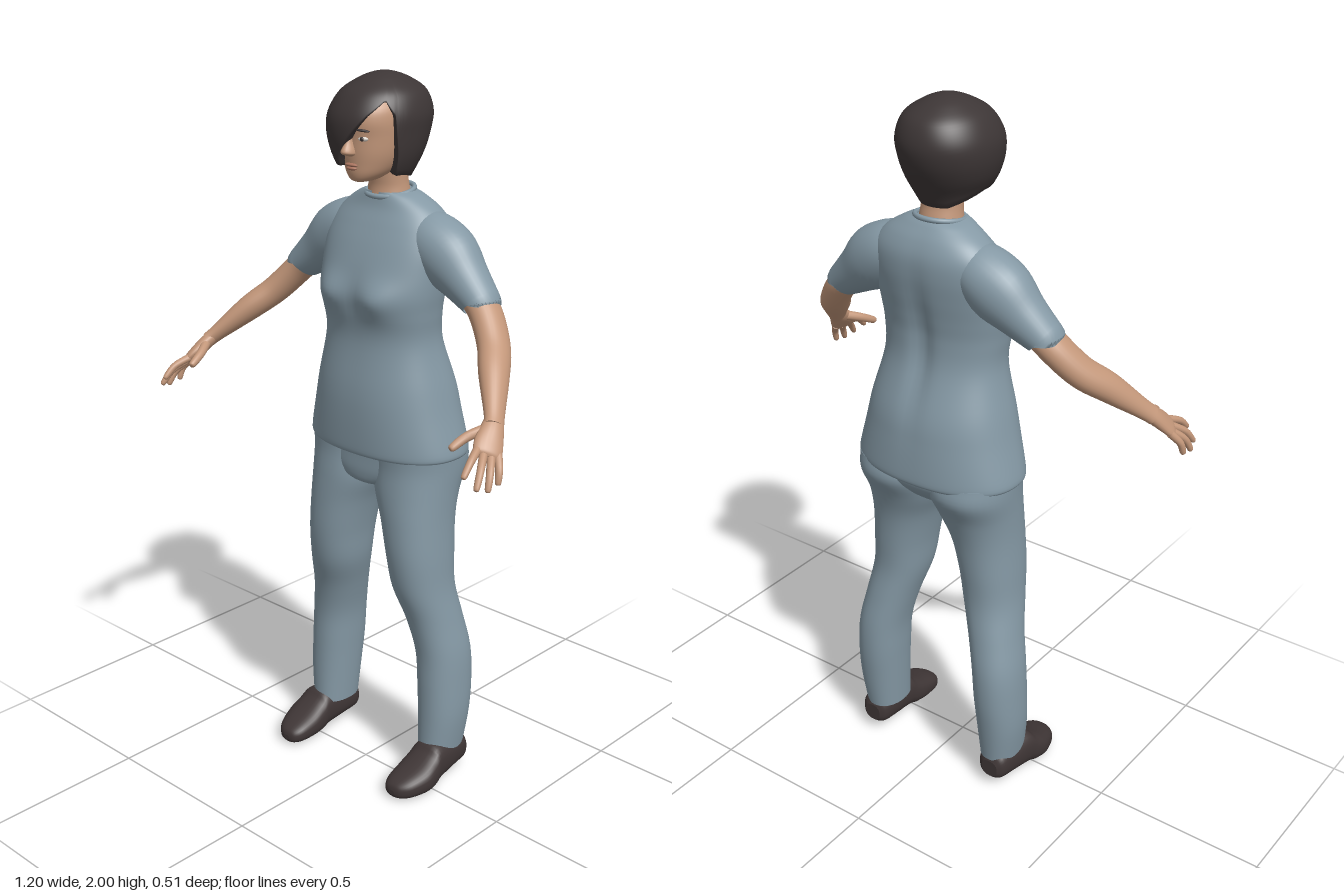
import * as THREE from 'three';

const V = (x, y, z) => new THREE.Vector3(x, y, z);
const material = (name, color) => Object.assign(new THREE.MeshStandardMaterial({ color }), { name });

// Smooth interpolation through rows of numbers
function spline(rows, steps) {
  const out = [], last = rows.length - 1;
  for (let i = 0; i <= steps; i++) {
    const t = (i / steps) * last, k = Math.min(Math.floor(t), last - 1), u = t - k;
    const [a, b, c, d] = [k - 1, k, k + 1, k + 2].map(j => rows[Math.max(0, Math.min(last, j))]);
    out.push(b.map((_, n) => b[n] + 0.5 * u * (c[n] - a[n] + u * (2 * a[n] - 5 * b[n] + 4 * c[n] - d[n]
      + u * (3 * (b[n] - c[n]) + d[n] - a[n])))));
  }
  return out;
}

// Superellipse point between two pairs of extents
function onHoop(x0, x1, front, back, angle, power) {
  const bend = v => Math.sign(v) * Math.abs(v) ** power;
  return [(x0 + x1) / 2 + (x1 - x0) / 2 * bend(Math.cos(angle)),
    (front + back) / 2 + (front - back) / 2 * bend(Math.sin(angle))];
}

// Closed skin over rings, with crisp end caps, always facing outwards
function solid(rings) {
  const n = rings[0].length, pts = rings.flat(), idx = [];
  for (let r = 0; r < rings.length - 1; r++) for (let i = 0; i < n; i++) {
    const a = r * n + i, b = r * n + (i + 1) % n;
    idx.push(a, b, a + n, b, b + n, a + n);
  }
  [rings[0], rings[rings.length - 1]].forEach((ring, end) => {
    const base = pts.length;
    pts.push(...ring, ring.reduce((s, p) => s.add(p), V(0, 0, 0)).divideScalar(n));
    for (let i = 0; i < n; i++) {
      const a = base + i, b = base + (i + 1) % n;
      idx.push(base + n, end ? a : b, end ? b : a);
    }
  });
  let volume = 0;
  for (let i = 0; i < idx.length; i += 3)
    volume += pts[idx[i]].dot(V(0, 0, 0).crossVectors(pts[idx[i + 1]], pts[idx[i + 2]]));
  if (volume < 0) idx.reverse();
  const geo = new THREE.BufferGeometry().setFromPoints(pts);
  geo.setIndex(idx);
  geo.computeVertexNormals();
  return geo;
}

// Horizontal sections: [y, x0, x1, front z, back z]
function stack(rows, steps, power = 0.88, n = 48) {
  return spline(rows, steps).map(([y, x0, x1, f, b]) => Array.from({ length: n }, (_, i) => {
    const [x, z] = onHoop(x0, x1, f, b, i / n * Math.PI * 2, power);
    return V(x, y, z);
  }));
}
const even = rows => rows.map(([y, h, f, b]) => [y, -h, h, f, b]);

// Tapered limb: rows of [x, y, z, radius along side, other radius]
function limb(rows, side, steps = 20, n = 20) {
  const path = spline(rows, steps);
  return path.map(([x, y, z, r1, r2], k) => {
    const p = path[Math.max(0, k - 1)], q = path[Math.min(steps, k + 1)];
    const t = V(q[0] - p[0], q[1] - p[1], q[2] - p[2]).normalize();
    const b = side.clone().addScaledVector(t, -side.dot(t)).normalize();
    const c = V(0, 0, 0).crossVectors(t, b);
    return Array.from({ length: n }, (_, i) => {
      const a = i / n * Math.PI * 2;
      return V(x, y, z).addScaledVector(b, r1 * Math.cos(a)).addScaledVector(c, r2 * Math.sin(a));
    });
  });
}

export function createModel() {
  const model = new THREE.Group();
  const cloth = material('blue grey cloth', 0x8599a5), skin = material('skin', 0xc3977a);
  const dark = material('dark hair', 0x3d3636), shoeMat = material('dark shoe', 0x3f3636);
  const lipMat = material('lips', 0xa9745f), white = material('eye white', 0xd8d0c8);

  const add = (name, geo, mat) => {
    const mesh = new THREE.Mesh(geo, mat);
    mesh.name = name;
    model.add(mesh);
    return mesh;
  };
  const pair = (name, rings, mat) => {
    add('left' + name, solid(rings), mat);
    add('right' + name, solid(rings.map(r => r.map(p => V(-p.x, p.y, p.z)))), mat);
  };
  const bump = (d, w) => Math.exp(-((d / w) ** 2));

  // Tunic with bust and spine groove
  const tunic = stack(even([
    [0.985, 0.243, 0.058, -0.248], [1.005, 0.246, 0.063, -0.253], [1.1, 0.222, 0.066, -0.245],
    [1.18, 0.204, 0.062, -0.232], [1.3, 0.176, 0.046, -0.192], [1.38, 0.18, 0.052, -0.184],
    [1.44, 0.188, 0.054, -0.19], [1.5, 0.193, 0.042, -0.2], [1.56, 0.195, 0.02, -0.207],
    [1.61, 0.182, -0.004, -0.205], [1.65, 0.147, -0.025, -0.19], [1.68, 0.1, -0.034, -0.168],
    [1.692, 0.07, -0.036, -0.156]]), 70, 0.88, 80);
  tunic.flat().forEach(p => {
    if (p.z > -0.06) p.z += 0.024 * bump(Math.abs(p.x) - 0.085, 0.06) * bump(p.y - 1.425, 0.05);
    else if (p.z < -0.12) p.z += 0.016 * bump(p.x, 0.03) * bump(p.y - 1.36, 0.17);
  });
  add('tunic', solid(tunic), cloth);
  const collar = add('collar', new THREE.TorusGeometry(0.064, 0.007, 10, 40), cloth);
  collar.position.set(0, 1.69, -0.095);
  collar.rotation.x = Math.PI / 2 + 0.15;

  // Sleeves
  pair('Sleeve', limb([
    [0.08, 1.6, -0.105, 0.06, 0.055], [0.14, 1.575, -0.107, 0.08, 0.077], [0.2, 1.535, -0.105, 0.08, 0.086],
    [0.26, 1.488, -0.1, 0.066, 0.066], [0.315, 1.446, -0.093, 0.056, 0.05], [0.322, 1.439, -0.092, 0.055, 0.048]],
    V(0, 0, 1), 24, 32), cloth);

  // Trousers
  add('hips', solid(stack(even([
    [1.04, 0.222, 0.03, -0.22], [0.97, 0.222, 0.03, -0.226], [0.92, 0.17, 0.03, -0.19],
    [0.89, 0.09, 0.02, -0.15], [0.878, 0.03, -0.02, -0.1]]), 20)), cloth);
  pair('TrouserLeg', stack([
    [1.0, -0.002, 0.238, 0.035, -0.23], [0.95, -0.002, 0.236, 0.033, -0.235], [0.88, 0.008, 0.232, 0.038, -0.2],
    [0.8, 0.04, 0.231, 0.041, -0.176], [0.7, 0.064, 0.235, 0.04, -0.165], [0.6, 0.08, 0.24, 0.026, -0.16],
    [0.5, 0.11, 0.256, -0.004, -0.174], [0.4, 0.134, 0.274, -0.02, -0.189], [0.3, 0.143, 0.28, -0.021, -0.19],
    [0.2, 0.15, 0.28, -0.02, -0.18], [0.095, 0.157, 0.267, -0.018, -0.166]], 50, 0.92, 40), cloth);

  // Shoes: sections along z, [z, x0, x1, top, bottom]
  const shoe = spline([
    [0.122, 0.205, 0.225, 0.032, 0.018], [0.115, 0.186, 0.245, 0.047, 0.008], [0.09, 0.171, 0.268, 0.062, 0.002],
    [0.04, 0.165, 0.286, 0.083, 0], [0, 0.167, 0.285, 0.106, 0.002], [-0.03, 0.17, 0.279, 0.127, 0.01],
    [-0.1, 0.17, 0.27, 0.122, 0.02], [-0.15, 0.174, 0.262, 0.115, 0.026], [-0.167, 0.192, 0.245, 0.09, 0.038]], 40)
    .map(([z, x0, x1, top, low]) => Array.from({ length: 32 }, (_, i) => {
      const [x, y] = onHoop(x0, x1, top, low, i / 16 * Math.PI, 0.8);
      return V(x, Math.max(0, y), z);
    }));
  pair('Shoe', shoe, shoeMat);

  // Arms and hands
  pair('Arm', limb([
    [0.28, 1.475, -0.095, 0.048, 0.042], [0.34, 1.42, -0.085, 0.048, 0.04], [0.4, 1.353, -0.048, 0.046, 0.038],
    [0.45, 1.3, 0.01, 0.042, 0.035], [0.51, 1.23, 0.08, 0.029, 0.022], [0.528, 1.208, 0.103, 0.028, 0.02]],
    V(0, 0, 1), 30, 28), skin);
  const across = V(-0.035, 0.015, 0.045);
  pair('Palm', limb([
    [0.518, 1.222, 0.088, 0.024, 0.018], [0.53, 1.2, 0.112, 0.031, 0.02], [0.543, 1.175, 0.14, 0.038, 0.017],
    [0.553, 1.157, 0.156, 0.037, 0.014], [0.557, 1.15, 0.163, 0.028, 0.007]], across), skin);
  const fingers = [
    ['Index', [0.535, 1.168, 0.172], [0.549, 1.15, 0.215], [0.555, 1.118, 0.25]],
    ['Middle', [0.548, 1.157, 0.165], [0.572, 1.13, 0.205], [0.585, 1.09, 0.236]],
    ['Ring', [0.56, 1.15, 0.15], [0.584, 1.12, 0.183], [0.595, 1.08, 0.204]],
    ['Little', [0.567, 1.152, 0.133], [0.588, 1.122, 0.153], [0.594, 1.087, 0.164]],
    ['Thumb', [0.522, 1.205, 0.115], [0.494, 1.188, 0.162], [0.48, 1.164, 0.212]]];
  for (const [name, a, b, c] of fingers) {
    const r = name === 'Thumb' ? 0.0125 : 0.0098;
    const near = c.map((v, i) => v + (b[i] - v) * 0.13);
    pair(name + 'Finger', limb([[...a, r * 1.15, r * 1.1], [...b, r, r], [...near, r * 0.8, r * 0.8],
      [...c, r * 0.15, r * 0.15]], across, 14, 12), skin);
  }

  // Neck, head and face
  add('neck', solid(stack(even([[1.66, 0.064, -0.03, -0.152], [1.7, 0.057, -0.036, -0.142],
    [1.73, 0.055, -0.033, -0.136], [1.79, 0.055, -0.02, -0.135]]), 12, 1)), skin);
  add('head', solid(stack(even([
    [1.727, 0.012, 0.032, 0], [1.733, 0.032, 0.045, -0.04], [1.75, 0.052, 0.052, -0.08],
    [1.775, 0.067, 0.055, -0.115], [1.805, 0.077, 0.058, -0.135], [1.845, 0.083, 0.06, -0.15],
    [1.885, 0.086, 0.066, -0.165], [1.92, 0.08, 0.056, -0.165], [1.955, 0.055, 0.015, -0.14],
    [1.972, 0.01, -0.04, -0.08]]), 40, 0.95)), skin);
  add('nose', solid(stack(even([[1.868, 0.006, 0.063, 0.04], [1.835, 0.009, 0.074, 0.04],
    [1.812, 0.016, 0.088, 0.04], [1.803, 0.016, 0.083, 0.04], [1.797, 0.008, 0.064, 0.04]]), 16, 1, 20)), skin);
  const blob = (name, x, y, z, w, h, d, mat) => {
    const mesh = add(name, new THREE.SphereGeometry(1, 16, 10).scale(w, h, d), mat);
    mesh.position.set(x, y, z);
    return mesh;
  };
  blob('upperLip', 0, 1.774, 0.054, 0.022, 0.005, 0.009, lipMat);
  blob('lowerLip', 0, 1.765, 0.053, 0.018, 0.005, 0.009, lipMat);
  for (const s of [-1, 1]) {
    blob('eye', s * 0.036, 1.843, 0.048, 0.014, 0.0065, 0.008, white).rotation.y = s * 0.4;
    blob('iris', s * 0.036, 1.843, 0.053, 0.006, 0.006, 0.0045, dark);
    blob('eyebrow', s * 0.038, 1.865, 0.053, 0.02, 0.0035, 0.006, dark).rotation.set(0, s * 0.45, -s * 0.1);
    blob('ear', s * 0.083, 1.835, -0.055, 0.01, 0.03, 0.018, skin);
  }

  // Bob with a slanted fringe: the lower edge changes around the head
  const shape = spline([
    [1.72, -0.085, 0.07, 0.035, -0.137], [1.76, -0.1, 0.092, 0.06, -0.158], [1.8, -0.124, 0.106, 0.072, -0.183],
    [1.85, -0.139, 0.113, 0.08, -0.206], [1.9, -0.138, 0.115, 0.075, -0.213], [1.95, -0.113, 0.095, 0.043, -0.193],
    [1.98, -0.073, 0.055, -0.005, -0.15], [1.995, -0.038, 0.02, -0.045, -0.11], [2.0, -0.01, -0.006, -0.076, -0.08]], 160);
  const edge = [[0, 1.745], [14, 1.745], [27, 1.9], [40, 1.938], [60, 1.9], [108, 1.768],
    [180, 1.765], [240, 1.728], [300, 1.725], [360, 1.745]];
  const edgeAt = deg => {
    const k = Math.max(1, edge.findIndex(e => e[0] >= deg)), [a, p] = edge[k - 1], [b, q] = edge[k];
    return p + (q - p) * (deg - a) / (b - a);
  };
  const hair = [];
  for (let r = -1; r <= 32; r++) {
    const v = Math.max(0, r) / 32, ring = [];
    for (let i = 0; i < 120; i++) {
      const low = edgeAt(i * 3), y = low + (2 - low) * (1 - (1 - v) ** 2);
      const k = Math.max(1, shape.findIndex(s => s[0] >= y - 1e-9)), p = shape[k - 1], q = shape[k];
      const u = THREE.MathUtils.clamp((y - p[0]) / (q[0] - p[0]), 0, 1);
      const [, x0, x1, f, b] = p.map((w, n) => w + (q[n] - w) * u);
      const [x, z] = onHoop(x0, x1, f, b, i / 60 * Math.PI, 0.95);
      const tuck = r < 0 ? 0.7 : 1;
      ring.push(V(x * tuck, y, -0.065 + (z + 0.065) * tuck));
    }
    hair.push(ring);
  }
  add('hair', solid(hair), dark);

  return model;
}
